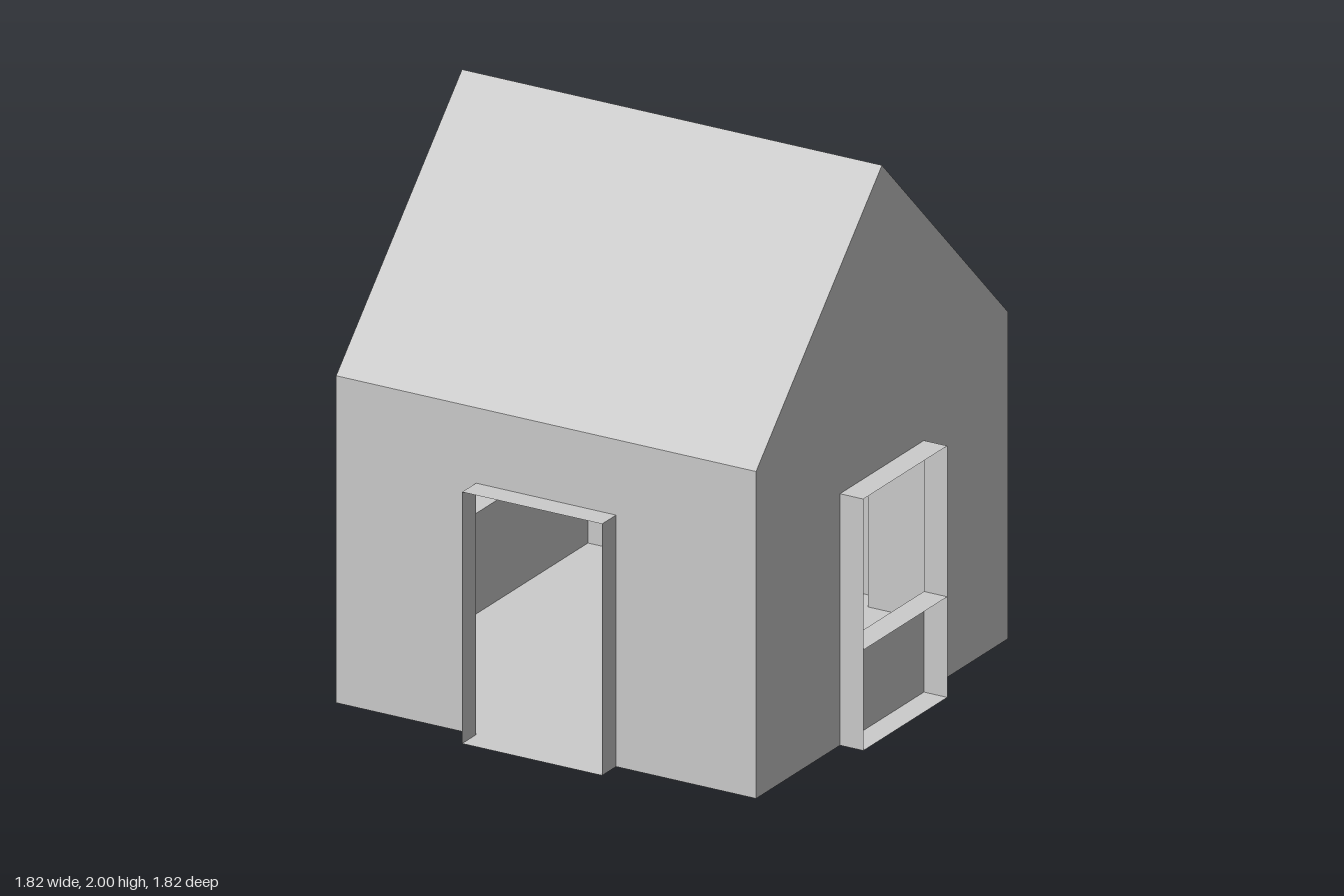
import * as THREE from 'three';

const U = 1 / 11;            // module the whole house is laid out on
const HALF = 9 * U;          // half width of the body
const DEPTH = U;             // how far the frames stand out
const OPEN = 3 * U;          // half width of each opening
const HEAD = 10 * U;         // top of the openings
const SILL = 4 * U;          // bottom of the windows
const EAVES = 13 * U;
const RIDGE = 22 * U;

const material = new THREE.MeshStandardMaterial({ color: 0xcccccc, side: THREE.DoubleSide });

function part(name, geometry) {
  const mesh = new THREE.Mesh(geometry, material);
  mesh.name = name;
  return mesh;
}

const outline = (points) => points.map(([x, y]) => new THREE.Vector2(x, y));

// Plain wall with a doorway cut up from the floor
function doorWall() {
  return new THREE.ShapeGeometry(new THREE.Shape(outline([
    [-HALF, 0], [-OPEN, 0], [-OPEN, HEAD], [OPEN, HEAD],
    [OPEN, 0], [HALF, 0], [HALF, EAVES], [-HALF, EAVES],
  ])));
}

// Gable wall with a square window hole
function gableWall() {
  const shape = new THREE.Shape(outline([
    [-HALF, 0], [HALF, 0], [HALF, EAVES], [0, RIDGE], [-HALF, EAVES],
  ]));
  shape.holes.push(new THREE.Path(outline([
    [-OPEN, SILL], [-OPEN, HEAD], [OPEN, HEAD], [OPEN, SILL],
  ])));
  return new THREE.ShapeGeometry(shape);
}

// Thin boards lining an opening and standing out from the wall
function frame(name, hasSill) {
  const group = new THREE.Group();
  group.name = name;
  const z = HALF + DEPTH / 2;
  const board = (label, y, up) => group.add(part(label,
    new THREE.PlaneGeometry(2 * OPEN, DEPTH).rotateX(up ? -Math.PI / 2 : Math.PI / 2).translate(0, y, z)));
  board('frameTop', HEAD, true);
  board('frameBottom', 0, false);
  if (hasSill) board('windowSill', SILL, true);
  for (const side of [-1, 1]) {
    group.add(part('frameJamb',
      new THREE.PlaneGeometry(DEPTH, HEAD).rotateY(side * Math.PI / 2).translate(side * OPEN, HEAD / 2, z)));
  }
  return group;
}

export function createModel() {
  const house = new THREE.Group();
  house.name = 'house';

  // Four sides, each a wall and its frame turned into place
  const sides = [
    ['front', 0, false], ['left', Math.PI / 2, true],
    ['back', Math.PI, false], ['right', -Math.PI / 2, true],
  ];
  for (const [name, angle, gable] of sides) {
    const side = new THREE.Group();
    side.name = name + 'Side';
    side.rotation.y = angle;
    const wall = gable ? gableWall() : doorWall();
    side.add(part(name + 'Wall', wall.translate(0, 0, HALF)));
    side.add(frame(name + (gable ? 'WindowFrame' : 'DoorFrame'), gable));
    // The back doorway is shut by a door at the face of its frame
    if (name === 'back') {
      side.add(part('backDoor',
        new THREE.PlaneGeometry(2 * OPEN, HEAD).translate(0, HEAD / 2, HALF + DEPTH)));
    }
    house.add(side);
  }

  // Floor
  house.add(part('floor', new THREE.PlaneGeometry(2 * HALF, 2 * HALF).rotateX(Math.PI / 2)));

  // Two roof slopes meeting at the ridge
  for (const s of [1, -1]) {
    const slope = new THREE.PlaneGeometry(2 * HALF, Math.hypot(HALF, RIDGE - EAVES));
    slope.rotateX(-Math.PI / 4).translate(0, (EAVES + RIDGE) / 2, HALF / 2);
    if (s < 0) slope.rotateY(Math.PI);
    house.add(part(s > 0 ? 'frontRoof' : 'backRoof', slope));
  }
  return house;
}
